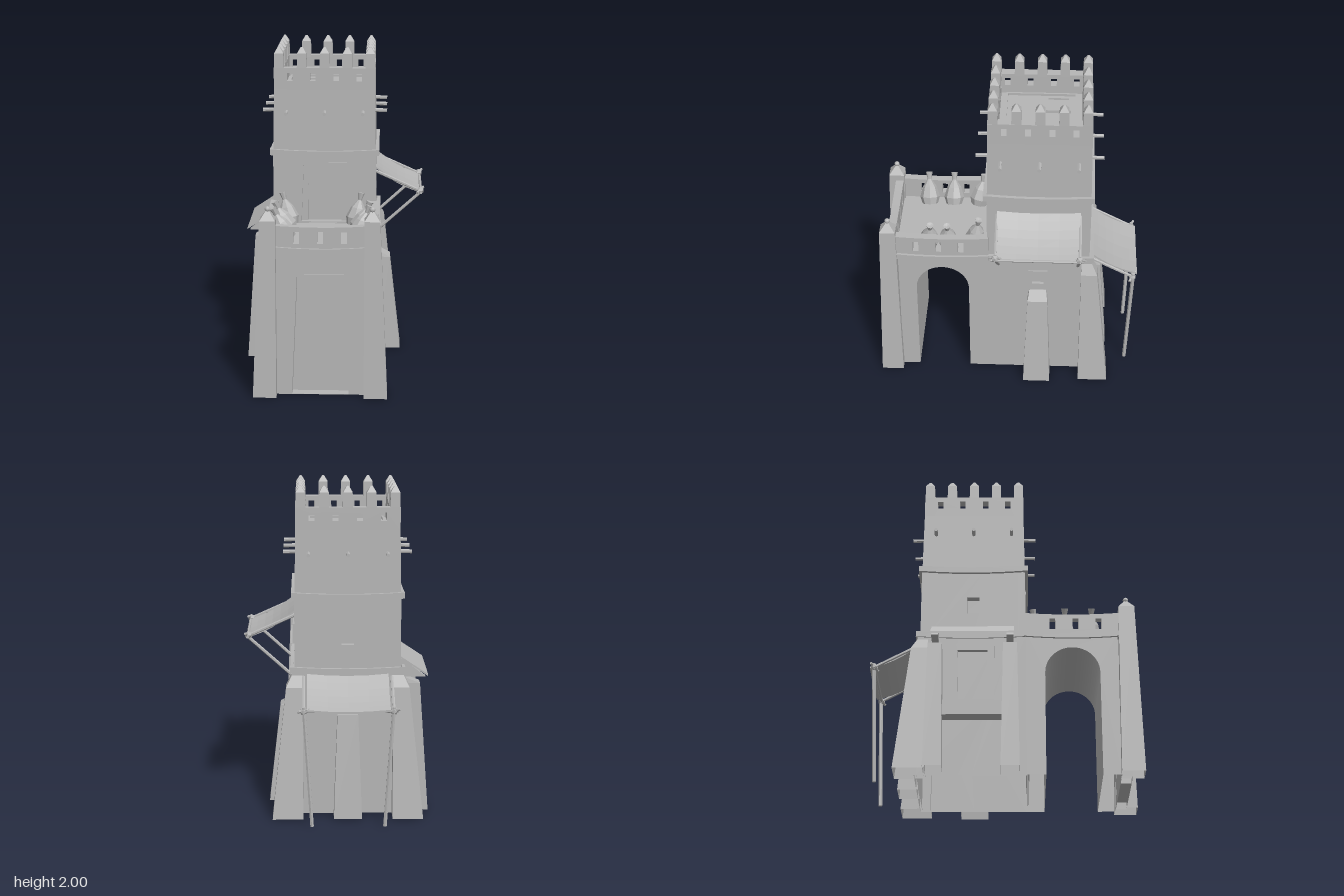
import * as THREE from 'three';

const stone = new THREE.MeshStandardMaterial({ color: 0xb6b6b6, flatShading: true, side: THREE.DoubleSide });
stone.name = 'grey stone';

function add(parent, name, geo, x = 0, y = 0, z = 0) {
  const m = new THREE.Mesh(geo, stone);
  m.name = name;
  m.position.set(x, y, z);
  parent.add(m);
  return m;
}

// Drops the faces lying on the ground, leaving the part hollow from below
function openBase(geo) {
  const p = (geo.index ? geo.toNonIndexed() : geo).attributes.position, kept = [];
  for (let i = 0; i < p.count; i += 3) {
    if (Math.max(p.getY(i), p.getY(i + 1), p.getY(i + 2)) < 1e-4) continue;
    for (let k = i; k < i + 3; k++) kept.push(p.getX(k), p.getY(k), p.getZ(k));
  }
  const g = new THREE.BufferGeometry();
  g.setAttribute('position', new THREE.Float32BufferAttribute(kept, 3));
  g.computeVertexNormals();
  return g;
}

// Block whose bottom and top rectangles [x0, x1, z0, z1] differ
function taper(parent, name, bottom, top, y0, y1) {
  const g = new THREE.BoxGeometry(1, 1, 1), p = g.attributes.position;
  for (let i = 0; i < p.count; i++) {
    const up = p.getY(i) > 0, r = up ? top : bottom;
    p.setXYZ(i, r[p.getX(i) > 0 ? 1 : 0], up ? y1 : y0, r[p.getZ(i) > 0 ? 3 : 2]);
  }
  g.computeVertexNormals();
  add(parent, name, openBase(g));
}

const poly = (pts) => new THREE.Path(pts.map(([x, y]) => new THREE.Vector2(x, y)));
const trapezoid = (x, y0, y1, w0, w1) => poly([[x - w0, y0], [x + w0, y0], [x + w1, y1], [x - w1, y1]]);
const rect = (x, y, w, h) => trapezoid(x, y, y + h, w / 2, w / 2);

// Wall slab with holes; its outer face lies at z = out, edges may sag in the middle
function panel(parent, name, half, y0, y1, out, thick, holes = [], sagTop = 0, sagBottom = 0) {
  const s = new THREE.Shape();
  s.moveTo(-half, y0);
  s.quadraticCurveTo(0, y0 - 2 * sagBottom, half, y0);
  s.lineTo(half, y1);
  s.quadraticCurveTo(0, y1 - 2 * sagTop, -half, y1);
  s.closePath();
  s.holes.push(...holes);
  const g = new THREE.ExtrudeGeometry(s, { depth: thick, bevelEnabled: false, curveSegments: 8 });
  add(parent, name, openBase(g), 0, 0, out - thick);
}

// Round pole between two points
function pole(parent, name, a, b, r = 0.01) {
  const A = new THREE.Vector3(...a), d = new THREE.Vector3(...b).sub(A);
  const m = add(parent, name, new THREE.CylinderGeometry(r, r, d.length(), 6));
  m.position.copy(A).addScaledVector(d, 0.5);
  m.quaternion.setFromUnitVectors(new THREE.Vector3(0, 1, 0), d.normalize());
}

// Sagging cloth that falls outwards along +z
function awning(parent, name, width, y0, y1, z0, z1, sag) {
  const g = new THREE.BoxGeometry(width, 0.012, 1, 4, 1, 6), p = g.attributes.position;
  for (let i = 0; i < p.count; i++) {
    const t = p.getZ(i) + 0.5, u = p.getX(i) / width;
    const y = y0 + (y1 - y0) * t - sag * (Math.sin(Math.PI * t) + 0.6 * (1 - 4 * u * u));
    p.setXYZ(i, p.getX(i), p.getY(i) + y, z0 + (z1 - z0) * t);
  }
  g.computeVertexNormals();
  add(parent, name, g);
}

// Crossed stick ends and rope knot
function knot(parent, x, y, z) {
  add(parent, 'knot', new THREE.IcosahedronGeometry(0.024), x, y, z);
  pole(parent, 'stickEnd', [x - 0.035, y - 0.01, z - 0.02], [x + 0.035, y + 0.015, z + 0.02], 0.008);
}

function buildTower() {
  const tower = new THREE.Group();
  tower.name = 'tower';
  tower.position.set(-0.068, 0, -0.19);
  const sq = (h) => [-h, h, -h, h];
  taper(tower, 'middleCore', sq(0.27), sq(0.27), 0.9, 1.345);
  taper(tower, 'upperBlock', sq(0.317), sq(0.311), 1.345, 1.74);
  taper(tower, 'middleFloor', sq(0.325), sq(0.325), 0.875, 0.905);

  for (let s = 0; s < 4; s++) {
    const side = new THREE.Group();
    side.name = ['frontSide', 'leftSide', 'backSide', 'rightSide'][s];
    side.rotation.y = s * Math.PI / 2;
    tower.add(side);
    const span = (half, t) => (s % 2 ? half - t : half);

    // Walls with their openings
    const low = s === 1 ? [rect(0, 0.695, 0.08, 0.1)] : s === 3 ? [rect(0, 0.44, 0.2, 0.36)] : [];
    panel(side, 'lowerWall', span(0.336, 0.014), 0, 0.9, 0.336, 0.014, low);
    if (low.length) panel(side, 'windowBack', 0.12, 0.42, 0.82, 0.3, 0.01);
    const mid = s === 0 ? [trapezoid(0, 0.91, 1.28, 0.145, 0.13)] : [rect(0, 1.05, 0.075, 0.11)];
    panel(side, 'middleWall', span(0.319, 0.045), 0.9, 1.345, 0.319, 0.045, mid);
    const slots = [-0.213, -0.072, 0.072, 0.213].map((x) => rect(x, 1.795, 0.035, 0.05));
    panel(side, 'battlementWall', span(0.311, 0.06), 1.74, 1.875, 0.311, 0.06, slots);

    // Sagging ledges
    panel(side, 'upperLedge', span(0.338, 0.03), 1.335, 1.372, 0.338, 0.03, [], 0.012, 0.012);
    if (s) panel(side, 'lowerLedge', span(0.345, 0.02), 0.885, 0.92, 0.345, 0.02, [], 0.012, 0.012);

    // Pointed merlons, one corner per side
    for (let i = 0; i < 4; i++) {
      const x = -0.28 + i * 0.14, r = (h) => [x - h, x + h, 0.28 - h, 0.28 + h];
      taper(side, 'merlon', r(0.03), r(0.028), 1.86, 1.963);
      taper(side, 'merlonTip', r(0.028), r(0.006), 1.963, 2);
    }
    for (const x of [-0.235, 0, 0.235]) pole(side, 'peg', [x, 1.605, 0.29], [x, 1.602, 0.385], 0.012);

    // Sloping buttresses against the walls
    const buttress = (x, w0, w1, d0, d1, h) => {
      taper(side, 'buttress', [x - w0, x + w0, 0.325, d0], [x - w1, x + w1, 0.325, d1], 0, h);
      taper(side, 'buttressCap', [x - w1, x + w1, 0.325, d1], [x - w1 * 0.85, x + w1 * 0.85, 0.325, 0.337], h, h + 0.04);
    };

    // Arched doorway to the terrace
    if (s === 0) {
      const arch = new THREE.Path();
      arch.moveTo(-0.105, 0.908);
      arch.lineTo(0.105, 0.908);
      arch.absarc(0, 1.13, 0.105, 0, Math.PI);
      arch.closePath();
      panel(side, 'archedDoorFrame', 0.15, 0.9, 1.29, 0.292, 0.022, [arch]);
      panel(side, 'doorLintel', 0.14, 1.272, 1.29, 0.325, 0.02);
    }
    // Square window frame and side awning on struts
    if (s === 1) {
      buttress(0, 0.085, 0.062, 0.48, 0.41, 0.61);
      panel(side, 'windowFrame', 0.06, 0.685, 0.805, 0.345, 0.02, [rect(0, 0.705, 0.075, 0.08)]);
      awning(side, 'sideAwning', 0.51, 1.25, 1.09, 0.31, 0.6, 0.02);
      pole(side, 'awningBar', [-0.28, 1.09, 0.6], [0.28, 1.09, 0.6], 0.009);
      for (const x of [-0.255, 0.255]) {
        pole(side, 'awningRafter', [x, 1.225, 0.31], [x, 1.09, 0.61]);
        pole(side, 'awningStrut', [x * 0.97, 0.85, 0.335], [x, 1.1, 0.61]);
        knot(side, x, 1.1, 0.595);
      }
    }
    // Back buttresses and awning on two leaning poles
    if (s === 2) {
      buttress(0, 0.085, 0.062, 0.45, 0.395, 0.64);
      for (const m of [-1, 1]) {
        const r = (a, b) => [Math.min(m * a, m * b), Math.max(m * a, m * b), a, b];
        taper(side, 'cornerButtress', r(0.27, 0.455), r(0.27, 0.37), 0, 0.8);
        taper(side, 'cornerButtressCap', r(0.27, 0.37), r(0.27, 0.335), 0.8, 0.87);
        const x = m * 0.265;
        pole(side, 'awningRafter', [x, 0.86, 0.33], [x, 0.715, 0.6]);
        pole(side, 'awningPole', [x * 0.82, 0, 0.575], [x, 0.74, 0.6], 0.012);
        knot(side, x, 0.715, 0.595);
      }
      awning(side, 'backAwning', 0.49, 0.875, 0.725, 0.33, 0.625, 0.022);
      pole(side, 'awningBar', [-0.29, 0.715, 0.595], [0.29, 0.715, 0.595], 0.009);
    }
    // Canopied window with stepped sill between two buttresses
    if (s === 3) {
      for (const x of [-0.225, 0.225]) {
        buttress(x, 0.055, 0.042, 0.495, 0.44, 0.8);
        taper(side, 'canopyBracket', [x - 0.02, x + 0.02, 0.325, 0.475], [x - 0.02, x + 0.02, 0.325, 0.34], 0.835, 0.945);
      }
      awning(side, 'canopy', 0.5, 0.955, 0.845, 0.325, 0.49, 0);
      panel(side, 'windowSurround', 0.13, 0.42, 0.83, 0.352, 0.03, [rect(0, 0.45, 0.18, 0.34)]);
      for (let i = 0; i < 3; i++) add(side, 'sillStep', new THREE.BoxGeometry(0.36, 0.035, 0.1 - i * 0.03), 0, 0.36 + i * 0.035, 0.375);
    }
  }

  // Roof: raised border and hatch
  const ring = (name, x, z, w, h, t, y) => {
    for (const m of [-1, 1]) {
      add(tower, name, new THREE.BoxGeometry(w, 0.02, t), x, y, z + m * (h - t) / 2);
      add(tower, name, new THREE.BoxGeometry(t, 0.02, h - 2 * t), x + m * (w - t) / 2, y, z);
    }
  };
  ring('roofBorder', 0, 0, 0.47, 0.44, 0.012, 1.745);
  ring('hatchFrame', -0.105, -0.105, 0.15, 0.15, 0.012, 1.75);
  add(tower, 'hatch', new THREE.BoxGeometry(0.126, 0.012, 0.126), -0.105, 1.742, -0.105);
  return tower;
}

function buildGatehouse() {
  const gate = new THREE.Group();
  gate.name = 'gatehouse';

  // Body with an arched passage from side to side
  const s = new THREE.Shape([[0.14, 0.9], [0.14, 0], [0.245, 0]].map(([x, y]) => new THREE.Vector2(x, y)));
  s.absarc(0.41, 0.648, 0.165, Math.PI, 0, true);
  for (const [x, y] of [[0.575, 0], [0.685, 0], [0.685, 0.9]]) s.lineTo(x, y);
  const tunnel = new THREE.ExtrudeGeometry(s, { depth: 0.672, bevelEnabled: false, curveSegments: 16 });
  add(gate, 'archedBody', openBase(tunnel), 0.268).rotation.y = -Math.PI / 2;

  // Front and side faces with sagging ledges and slotted parapets
  for (const [name, x, z, turn] of [['front', -0.07, 0.75, 0], ['left', 0.268, 0.42, 1], ['right', -0.404, 0.42, -1]]) {
    const f = new THREE.Group();
    f.name = name + 'Face';
    f.position.set(x, 0, z);
    f.rotation.y = turn * Math.PI / 2;
    gate.add(f);
    const slots = [-0.14, 0, 0.14].map((u) => rect(u - 0.012 * turn, 0.935, 0.036, 0.072));
    panel(f, 'parapet', 0.3, 0.88, 1.045, 0, 0.05, slots, 0.012);
    panel(f, 'ledge', 0.3, 0.885, 0.92, 0.015, 0.03, [], 0.014, 0.014);
    if (turn) continue;
    panel(f, 'frontWall', 0.3, 0, 0.9, 0, 0.066, [trapezoid(0, 0.002, 0.745, 0.17, 0.137)]);
    panel(f, 'gateLintel', 0.142, 0.735, 0.752, 0.008, 0.03);
  }

  // Corner pillars with pointed caps and ball finials
  for (const m of [-1, 1]) {
    const r = (a, b, z0, z1) => [Math.min(m * a, m * b) - 0.07, Math.max(m * a, m * b) - 0.07, z0, z1];
    taper(gate, 'cornerPillar', r(0.26, 0.4, 0.68, 0.818), r(0.26, 0.352, 0.695, 0.792), 0, 1.08);
    taper(gate, 'pillarCap', r(0.26, 0.352, 0.695, 0.792), r(0.298, 0.314, 0.737, 0.75), 1.08, 1.135);
    add(gate, 'finial', new THREE.IcosahedronGeometry(0.017, 1), m * 0.306 - 0.07, 1.142, 0.743);
  }

  // Tied sacks leaning on the parapets: x, z, lean, turn
  const profile = [[0, 0], [0.05, 0.005], [0.064, 0.05], [0.045, 0.115], [0.012, 0.165], [0.022, 0.21], [0, 0.205]]
    .map(([a, b]) => new THREE.Vector2(a, b));
  for (const [x, z, lean, turn] of [[-0.275, 0.21, 0.3, 0.6], [-0.27, 0.37, 0.45, 0], [-0.27, 0.525, 0.45, -0.1],
    [0.12, 0.215, 0.25, 2.5], [0.14, 0.38, 0.38, 3.1], [0.14, 0.5, 0.38, 2.9]]) {
    add(gate, 'sack', new THREE.LatheGeometry(profile, 8), x, 0.905, z).rotation.set(0, -turn, lean, 'YXZ');
  }
  return gate;
}

export function createModel() {
  const model = new THREE.Group();
  model.name = 'fortifiedTower';
  model.add(buildTower(), buildGatehouse());
  return model;
}
